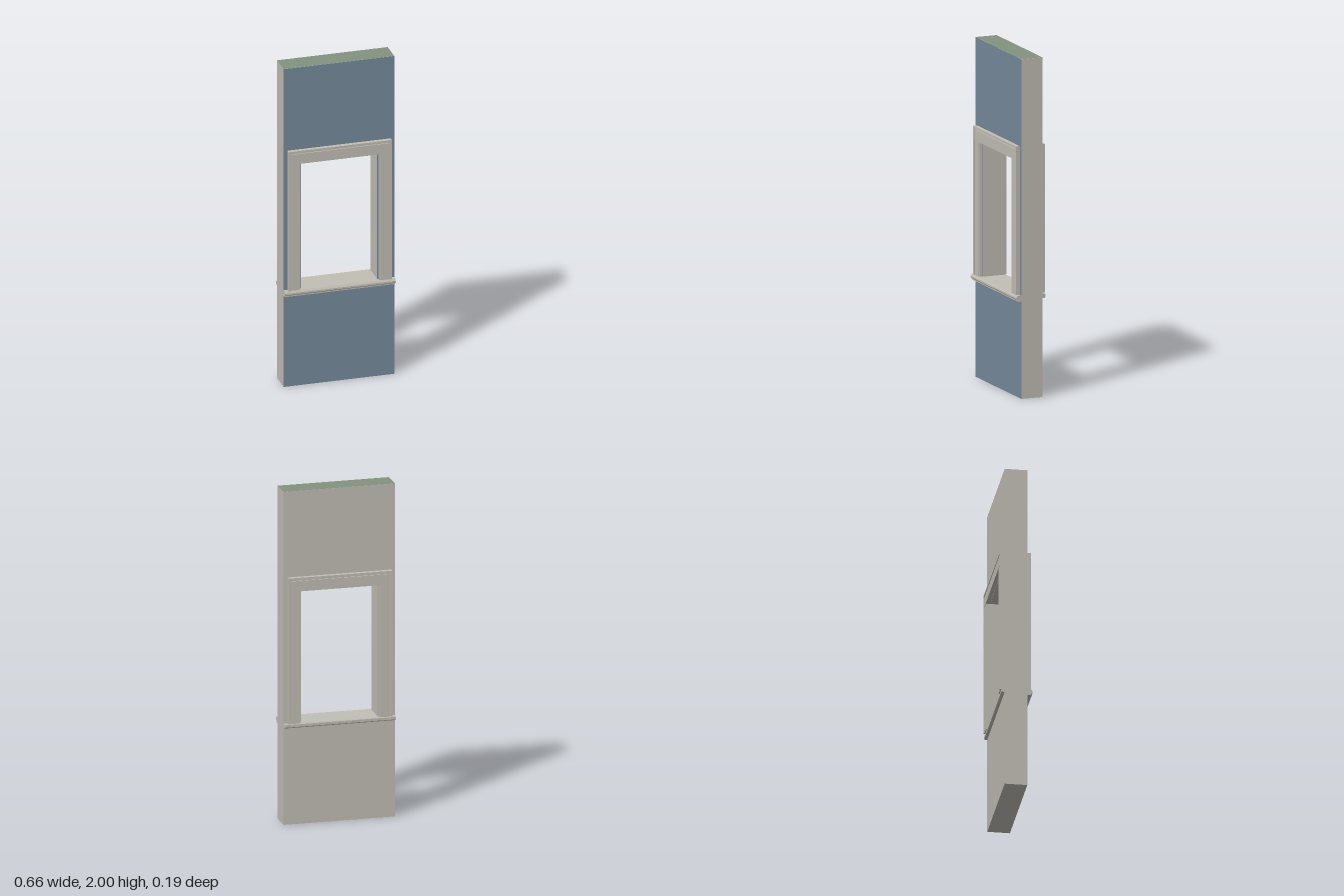
import * as THREE from 'three';

const W = 0.332, H = 2, FRONT = 0.062, BACK = -0.07;
const HOLE = { x: 0.229, bottom: 0.609, top: 1.4 };

const wallGrey = new THREE.MeshStandardMaterial({ color: 0xc2beb5 });
wallGrey.name = 'warm grey';
const facadeBlue = new THREE.MeshStandardMaterial({ color: 0x768a9c });
facadeBlue.name = 'slate blue';
const capGreen = new THREE.MeshStandardMaterial({ color: 0x82937f });
capGreen.name = 'sage green';

function add(parent, name, geometry, material = wallGrey) {
  const mesh = new THREE.Mesh(geometry, material);
  mesh.name = name;
  parent.add(mesh);
  return mesh;
}

// Box given by its lower and upper limits on each axis
function block(parent, name, x0, x1, y0, y1, z0, z1) {
  const mesh = add(parent, name, new THREE.BoxGeometry(x1 - x0, y1 - y0, z1 - z0));
  mesh.position.set((x0 + x1) / 2, (y0 + y1) / 2, (z0 + z1) / 2);
  return mesh;
}

function polygon(points) {
  return new THREE.Shape(points.map(([x, y]) => new THREE.Vector2(x, y)));
}

// Wall outline with the window opening
function wallShape() {
  const shape = polygon([[-W, 0], [W, 0], [W, H], [-W, H]]);
  const { x, bottom, top } = HOLE;
  shape.holes.push(polygon([[-x, bottom], [-x, top], [x, top], [x, bottom]]));
  return shape;
}

// Upside-down U: outer edge at x / top, band of the given width
function archBand(x, top, bottom, width, depth) {
  const i = x - width;
  const shape = polygon([
    [-x, bottom], [-i, bottom], [-i, top - width], [i, top - width],
    [i, bottom], [x, bottom], [x, top], [-x, top],
  ]);
  return new THREE.ExtrudeGeometry(shape, { depth, bevelEnabled: false });
}

// Window surround, built outward from z = 0
function casing(name) {
  const group = new THREE.Group();
  group.name = name;
  const outer = 0.31, inner = 0.236, top = 1.485, bottom = HOLE.bottom;
  // Outer edge strip, recessed groove and flat boards
  add(group, 'backBand', archBand(outer, top, bottom, 0.013, 0.026));
  add(group, 'groove', archBand(0.297, top - 0.013, bottom, 0.006, 0.018));
  block(group, 'headBoard', -0.291, 0.291, 1.403, top - 0.019, 0, 0.024);
  for (const s of [-1, 1]) {
    const span = (a, b) => (s > 0 ? [a, b] : [-b, -a]);
    block(group, 'sideBoard', ...span(inner + 0.006, 0.291), bottom, 1.403, 0, 0.022);
    block(group, 'innerBead', ...span(inner, inner + 0.006), bottom, 1.403, 0, 0.017);
  }
  return group;
}

// Horizontal sill with a stepped nose; profile points are (outward, y)
function sill(parent, name, profile) {
  const geometry = new THREE.ExtrudeGeometry(polygon(profile), { depth: 2 * W, bevelEnabled: false });
  geometry.rotateY(-Math.PI / 2).translate(W, 0, 0);
  return add(parent, name, geometry);
}

export function createModel() {
  const model = new THREE.Group();
  model.name = 'windowWall';

  // Wall body, with coloured front face and top
  const body = new THREE.ExtrudeGeometry(wallShape(), { depth: FRONT - BACK, bevelEnabled: false });
  add(model, 'wallBody', body).position.z = BACK;
  add(model, 'frontFace', new THREE.ShapeGeometry(wallShape()), facadeBlue).position.z = FRONT + 0.0006;
  const cap = new THREE.PlaneGeometry(2 * W, FRONT - BACK).rotateX(-Math.PI / 2);
  add(model, 'topFace', cap, capGreen).position.set(0, H + 0.0006, (FRONT + BACK) / 2);

  // Front surround and its deep sill
  const front = casing('frontCasing');
  sill(front, 'frontSill', [
    [0, 0.573], [0.02, 0.573], [0.02, 0.581], [0.027, 0.583],
    [0.031, 0.588], [0.031, 0.598], [0.027, 0.604], [0.024, 0.609], [0, 0.609],
  ]);
  front.position.z = FRONT;
  model.add(front);

  // Back surround and its slimmer stool
  const back = casing('backCasing');
  sill(back, 'backSill', [
    [0, 0.583], [0.014, 0.583], [0.018, 0.588], [0.018, 0.603], [0.014, 0.609], [0, 0.609],
  ]);
  back.rotation.y = Math.PI;
  back.position.z = BACK;
  model.add(back);

  return model;
}
